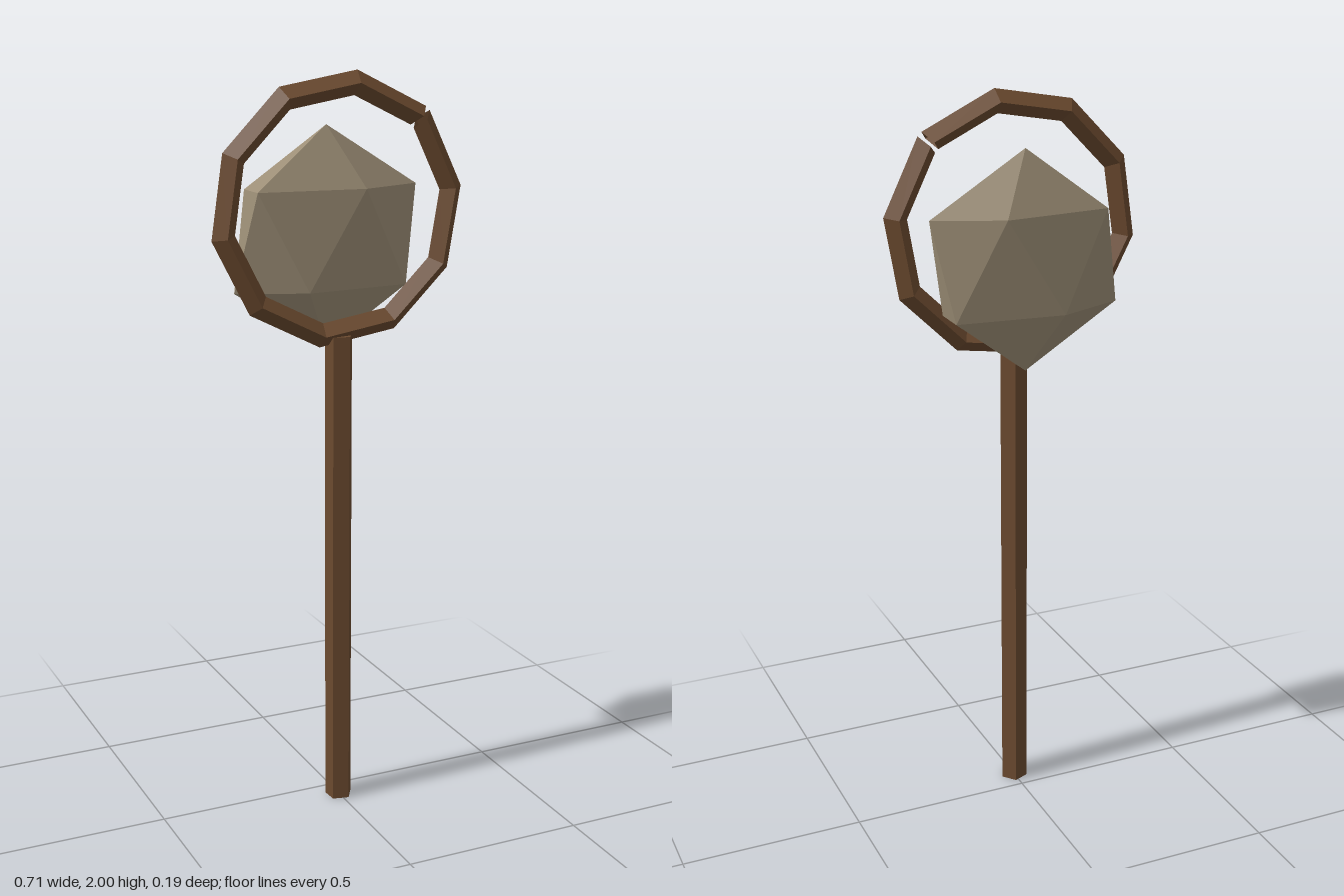
import * as THREE from 'three';

const wood = new THREE.MeshStandardMaterial({ name: 'wood', color: 0x6b4a2f, flatShading: true, side: THREE.DoubleSide });
const stone = new THREE.MeshStandardMaterial({ name: 'stone', color: 0x9c8e76, flatShading: true });

function part(name, geometry, material, x, y, z) {
  const mesh = new THREE.Mesh(geometry, material);
  mesh.name = name;
  mesh.position.set(x, y, z);
  return mesh;
}

export function createModel() {
  const group = new THREE.Group();
  group.name = 'staff';
  const deg = Math.PI / 180;

  // Five-sided shaft, turned so that one edge sits just right of the front
  const shaft = new THREE.CylinderGeometry(0.038, 0.038, 1.32, 5);
  shaft.rotateY(22.5 * deg);
  group.add(part('shaft', shaft, wood, 0, 0.66, 0.06));

  // Ten-sided hoop with a diamond section and a narrow gap at the upper right
  const hoop = new THREE.TorusGeometry(0.3255, 0.032, 4, 10, 357.6 * deg);
  hoop.rotateZ(46.3 * deg);
  group.add(part('hoop', hoop, wood, 0, 1.645, 0.06));

  // Flattened icosahedron stone standing on one corner behind the hoop
  const gem = new THREE.IcosahedronGeometry(1, 0);
  gem.rotateZ(-Math.atan(2 / (1 + Math.sqrt(5))));
  gem.scale(0.293, 0.293, 0.0895);
  group.add(part('stoneHead', gem, stone, 0, 1.566, -0.022));

  return group;
}
